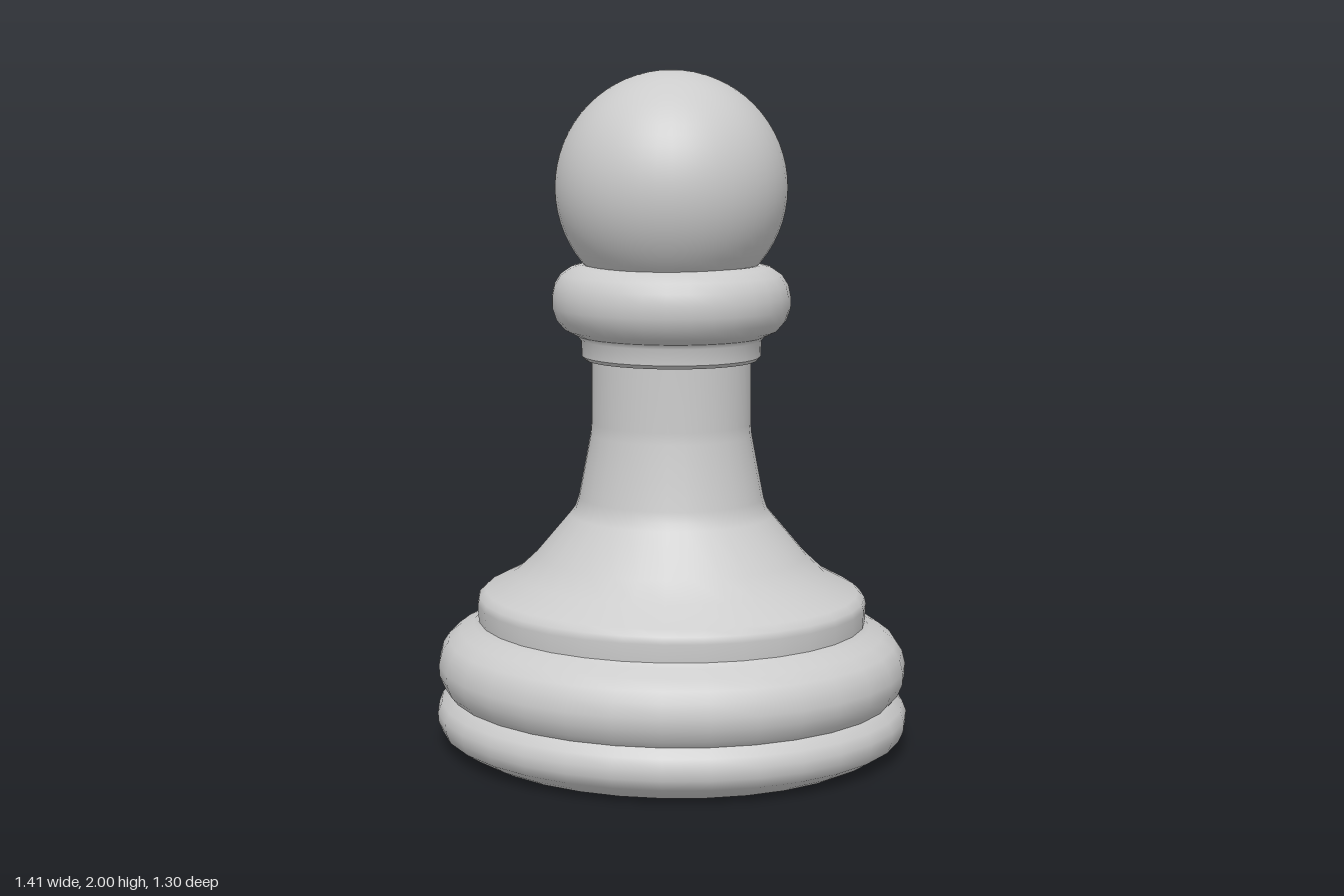
import * as THREE from 'three';

const material = new THREE.MeshStandardMaterial({ color: 0xcccccc });
const DEPTH = 0.918; // the turned body is slightly oval, narrower in z

// One smooth turned section; points are [radius, y] from bottom to top.
function turned(name, points) {
  const profile = points.map(([r, y]) => new THREE.Vector2(r, y));
  const mesh = new THREE.Mesh(new THREE.LatheGeometry(profile, 32), material);
  mesh.name = name;
  mesh.scale.z = DEPTH;
  return mesh;
}

export function createModel() {
  const model = new THREE.Group();
  model.name = 'pawn';

  // Base: flat underside and two stacked rounded rings
  model.add(turned('underside', [[0, 0], [0.615, 0]]));
  model.add(turned('lowerBaseRing', [
    [0.615, 0], [0.65, 0.018], [0.692, 0.045], [0.705, 0.075],
    [0.707, 0.105], [0.695, 0.135], [0.668, 0.16],
  ]));
  model.add(turned('upperBaseRing', [
    [0.668, 0.16], [0.685, 0.18], [0.7, 0.215], [0.702, 0.25], [0.692, 0.29],
    [0.672, 0.32], [0.636, 0.347], [0.595, 0.365], [0.58, 0.378],
  ]));

  // Flaring skirt that runs up into the neck
  model.add(turned('skirtAndNeck', [
    [0.58, 0.378], [0.583, 0.43], [0.578, 0.45], [0.558, 0.468], [0.466, 0.516],
    [0.403, 0.575], [0.302, 0.695], [0.287, 0.715], [0.276, 0.747],
    [0.256, 0.85], [0.24, 0.935], [0.237, 0.97], [0.236, 1.155],
  ]));

  // Collar: thin band below a rounded ring
  model.add(turned('collarLedge', [[0.236, 1.155], [0.255, 1.157], [0.265, 1.168]]));
  model.add(turned('collarBand', [[0.265, 1.168], [0.267, 1.215], [0.28, 1.229]]));
  model.add(turned('collarRing', [
    [0.28, 1.229], [0.315, 1.246], [0.34, 1.275], [0.352, 1.31], [0.352, 1.345],
    [0.345, 1.378], [0.326, 1.408], [0.295, 1.429], [0.265, 1.437],
  ]));
  model.add(turned('collarTop', [[0.265, 1.437], [0, 1.437]]));

  // Round head
  const head = new THREE.Mesh(new THREE.SphereGeometry(0.34, 48, 32), material);
  head.name = 'head';
  head.position.set(0, 1.66, -0.004);
  model.add(head);

  return model;
}
